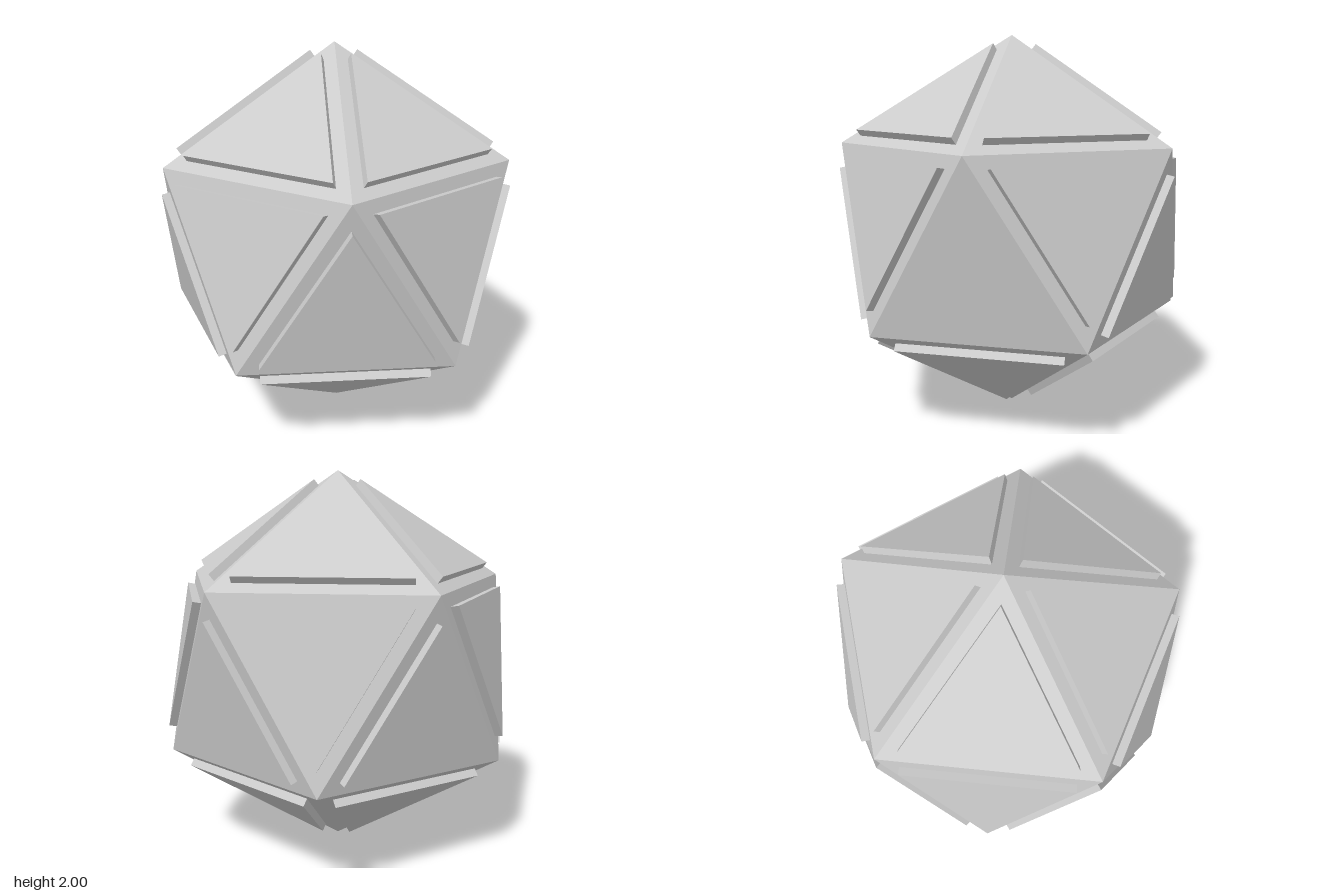
import * as THREE from 'three';

export function createModel() {
  const group = new THREE.Group();
  const material = new THREE.MeshStandardMaterial({ color: 0xcccccc, flatShading: true });

  // Core: icosahedron turned to stand on a vertex
  const phi = (1 + Math.sqrt(5)) / 2;
  const coreGeometry = new THREE.IcosahedronGeometry(1, 0);
  coreGeometry.rotateZ(-Math.atan(1 / phi));
  coreGeometry.translate(0, 1, 0);
  const core = new THREE.Mesh(coreGeometry, material);
  core.name = 'core';
  group.add(core);

  // Raised triangular panel on every face
  const height = 0.04, sink = 0.02, inset = 0.79;
  const positions = coreGeometry.attributes.position;
  const edge = new THREE.Vector3().fromBufferAttribute(positions, 0)
    .distanceTo(new THREE.Vector3().fromBufferAttribute(positions, 1));
  const radius = inset * edge / Math.sqrt(3);
  const panelGeometry = new THREE.CylinderGeometry(radius, radius, height + sink, 3);
  panelGeometry.translate(0, (height - sink) / 2, 0);

  for (let i = 0; i < positions.count; i += 3) {
    const [a, b, c] = [0, 1, 2].map(k => new THREE.Vector3().fromBufferAttribute(positions, i + k));
    const centre = a.clone().add(b).add(c).divideScalar(3);
    const normal = b.clone().sub(a).cross(c.clone().sub(a)).normalize();
    const toCorner = a.clone().sub(centre).normalize();
    const side = normal.clone().cross(toCorner);

    const panel = new THREE.Mesh(panelGeometry, material);
    panel.name = `facePanel${i / 3 + 1}`;
    panel.quaternion.setFromRotationMatrix(new THREE.Matrix4().makeBasis(side, normal, toCorner));
    panel.position.copy(centre);
    group.add(panel);
  }
  return group;
}
